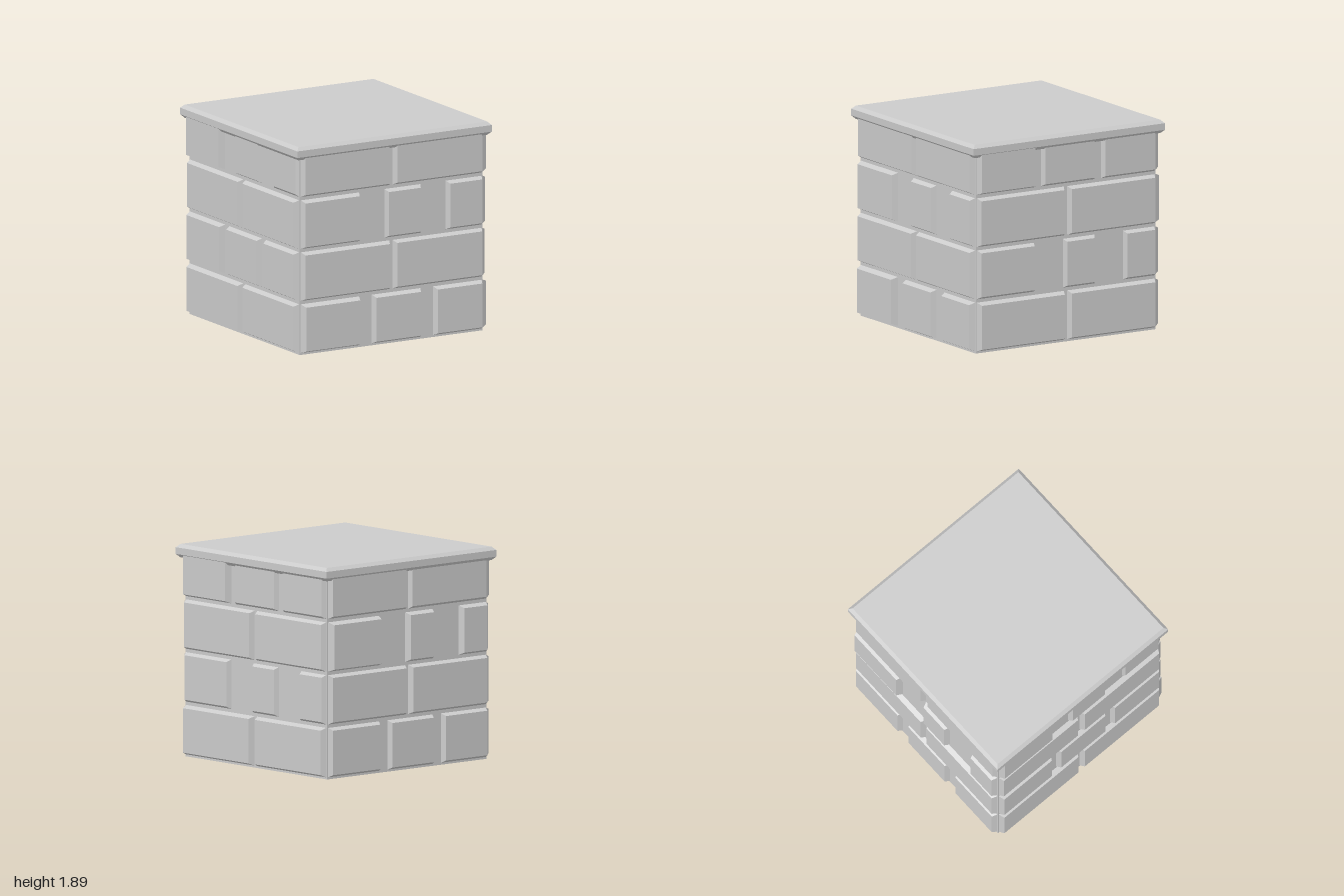
import * as THREE from 'three';

const WALL = 0.94;   // half width of the core
const BEVEL = 0.022; // inset of a brick's outer face
const COURSE = 0.47; // height of one course

const material = new THREE.MeshStandardMaterial({ color: 0xcccccc, flatShading: true });

function addMesh(parent, geometry, name) {
  const mesh = new THREE.Mesh(geometry, material);
  mesh.name = name;
  parent.add(mesh);
  return mesh;
}

// A brick on the +z wall: a box whose outer face is inset on all four sides
function brickGeometry(x0, x1, y0, y1, reach) {
  const w = x1 - x0, h = y1 - y0, d = reach - WALL;
  const geometry = new THREE.BoxGeometry(w, h, d);
  const p = geometry.attributes.position;
  for (let i = 0; i < p.count; i++) {
    if (p.getZ(i) > 0) {
      p.setX(i, p.getX(i) - Math.sign(p.getX(i)) * BEVEL);
      p.setY(i, p.getY(i) - Math.sign(p.getY(i)) * BEVEL);
    }
  }
  geometry.translate((x0 + x1) / 2, (y0 + y1) / 2, WALL + d / 2);
  geometry.computeVertexNormals();
  return geometry;
}

// Spans of a course: two long bricks, or one long and two of the given width
const pair = () => [[-0.93, -0.02], [0.015, 0.93]];
const triple = (w) => [[-0.93, -0.33], [0.3 - w, 0.3], [0.93 - w, 0.93]];

// Courses from bottom to top: brick spans and how far each brick reaches out
const walls = [
  { name: 'frontWall', turn: 0, courses: [
    [triple(0.5), [1, 0.99, 0.99]], [pair(), [0.99, 0.985]],
    [triple(0.37), [0.99, 0.985, 0.985]], [pair(), [0.985, 0.985]]] },
  { name: 'rightWall', turn: Math.PI / 2, courses: [
    [pair(), [0.995, 0.99]], [triple(0.33), [0.98, 0.98, 0.98]],
    [pair(), [0.985, 0.985]], [triple(0.56), [0.995, 0.98, 0.98]]] },
  { name: 'backWall', turn: Math.PI, courses: [
    [triple(0.53), [0.985, 0.985, 0.985]], [pair(), [0.985, 0.985]],
    [triple(0.32), [1, 0.99, 0.99]], [pair(), [0.985, 0.975]]] },
  { name: 'leftWall', turn: -Math.PI / 2, courses: [
    [pair(), [0.99, 0.985]], [triple(0.56), [0.99, 0.985, 0.985]],
    [pair(), [0.985, 0.985]], [triple(0.42), [0.995, 0.98, 0.965]]] },
];

export function createModel() {
  const model = new THREE.Group();
  model.name = 'brickPillar';

  // Plain core behind the bricks
  const core = new THREE.BoxGeometry(2 * WALL, 1.8, 2 * WALL);
  core.translate(0, 0.9, 0);
  addMesh(model, core, 'core');

  // Four walls of raised bricks
  for (const { name, turn, courses } of walls) {
    const wall = new THREE.Group();
    wall.name = name;
    wall.rotation.y = turn;
    courses.forEach(([spans, reaches], row) => {
      const y0 = row * COURSE + 0.018;
      spans.forEach(([x0, x1], i) => {
        addMesh(wall, brickGeometry(x0, x1, y0, y0 + 0.44, reaches[i]), 'brick');
      });
    });
    model.add(wall);
  }

  // Square cap slab with chamfered top and bottom edges
  const profile = [[0, 1.77], [0.97, 1.77], [1, 1.8], [1, 1.86], [0.97, 1.89], [0, 1.89]]
    .map(([r, y]) => new THREE.Vector2(r * Math.SQRT2, y));
  const cap = new THREE.LatheGeometry(profile, 4, Math.PI / 4);
  addMesh(model, cap, 'cap');

  return model;
}
